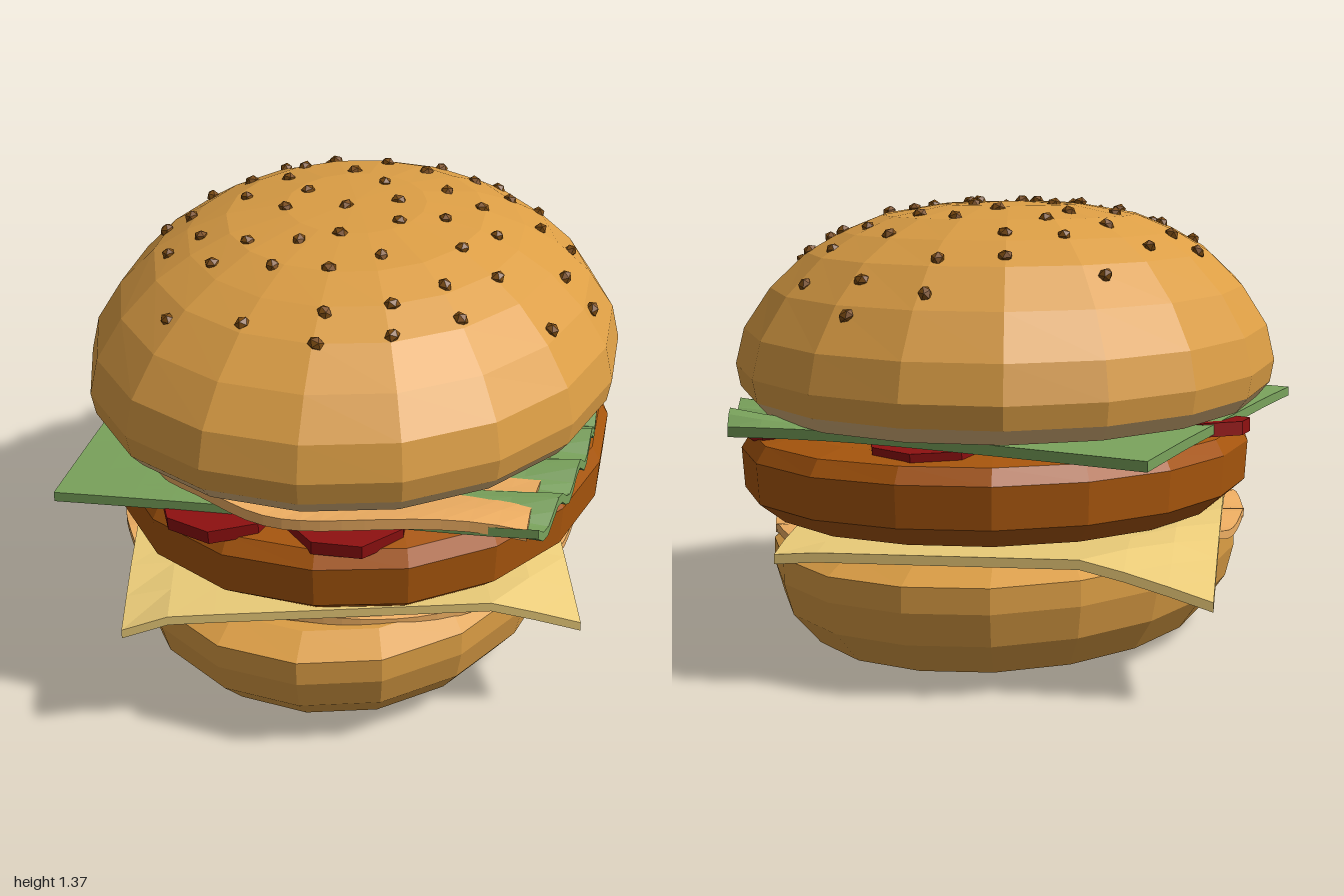
import * as THREE from 'three';

const SIDES = 18;

function material(color) {
  return new THREE.MeshStandardMaterial({ color, flatShading: true });
}

function addMesh(group, name, geometry, mat) {
  const mesh = new THREE.Mesh(geometry, mat);
  mesh.name = name;
  group.add(mesh);
  return mesh;
}

// Moves every vertex of a geometry by a rule
function reshape(geometry, rule) {
  const pos = geometry.attributes.position;
  const v = new THREE.Vector3();
  for (let i = 0; i < pos.count; i++) {
    rule(v.fromBufferAttribute(pos, i));
    pos.setXYZ(i, v.x, v.y, v.z);
  }
  geometry.computeVertexNormals();
  return geometry;
}

// Oval turned body, bulging a little along one diagonal;
// profile is [radius fraction, y] from bottom to top
function oval(profile, rx, rz, cx, cz, bulge) {
  const points = profile.map(([r, y]) => new THREE.Vector2(r, y));
  return reshape(new THREE.LatheGeometry(points, SIDES), (v) => {
    const swell = 1 + 2 * bulge * Math.max(0, -v.x * v.z);
    v.x = v.x * rx * swell + cx;
    v.z = v.z * rz * swell + cz;
  });
}

// Thin slice: outline maps (u, v) in -1..1 to [x, z], height gives its y
function sheet(nx, nz, thickness, outline, height) {
  return reshape(new THREE.BoxGeometry(2, 1, 2, nx, 1, nz), (p) => {
    const { x: u, z: v } = p;
    const [x, z] = outline(u, v);
    p.set(x, height(x, z, u, v) + p.y * thickness, z);
  });
}

// Blend of four corners: back right, back left, front left, front right
function quad([a, b, c, d]) {
  return (u, v) => [0, 1].map((i) =>
    (a[i] * (1 - u) * (1 - v) + b[i] * (1 + u) * (1 - v) +
     c[i] * (1 + u) * (1 + v) + d[i] * (1 - u) * (1 + v)) / 4);
}

// Square rounded towards an oval; k = 1 is a full oval
function rounded(hx, hz, k) {
  return (u, v) => [
    hx * u * Math.sqrt(1 - (k(u, v) * v * v) / 2),
    hz * v * Math.sqrt(1 - (k(u, v) * u * u) / 2),
  ];
}

export function createModel() {
  const burger = new THREE.Group();
  burger.name = 'burger';

  const bun = material(0xdc9e45);
  const crumb = material(0xdcb57c);
  const pattyMat = material(0xa8560d);
  const cheese = material(0xeacb78);
  const lettuceMat = material(0x7aa35c);
  const tomatoMat = material(0x8e1010);
  const ham = material(0xeeae62);
  const seedMat = material(0x7d4c12);

  // Bottom bun
  addMesh(burger, 'bottomBun', oval([
    [0, 0], [0.55, 0.004], [0.86, 0.048], [0.965, 0.15], [1, 0.25],
    [1, 0.325], [0.9, 0.37], [0, 0.38],
  ], 0.7, 0.98, 0, 0, 0.02), bun);

  // Wavy ham under the cheese
  addMesh(burger, 'lowerHam', sheet(20, 26, 0.026, rounded(0.74, 0.84, () => 0.95),
    (x, z, u, v) => 0.375 - 0.02 * u * u + 0.012 * Math.sin(z * 17 + x * 9) * Math.max(Math.abs(u), Math.abs(v))), ham);

  // Cheese slice with drooping sides
  addMesh(burger, 'cheeseSlice', sheet(10, 12, 0.028,
    quad([[-0.83, -0.76], [0.38, -0.99], [0.79, 0.66], [-0.51, 0.99]]),
    (x, z) => 0.4 + 0.014 * z - 0.29 * Math.max(0, Math.hypot(x / 0.69, z / 1.14) - 1)), cheese);

  // Patty
  addMesh(burger, 'patty', oval([
    [0, 0.405], [0.9, 0.412], [0.99, 0.475], [1, 0.6], [0.965, 0.648], [0.85, 0.668], [0, 0.675],
  ], 0.778, 0.92, 0.037, -0.012, 0.035), pattyMat);

  // Tomato slices, tipped outwards
  const slice = new THREE.CylinderGeometry(0.19, 0.19, 0.042, 8);
  const spots = [[-0.27, 0.69], [0.1, 0.71], [0.5, 0.38], [0.52, -0.45], [0.02, -0.68], [-0.6, -0.07]];
  spots.forEach(([x, z], i) => {
    const tomato = addMesh(burger, 'tomatoSlice', slice, tomatoMat);
    tomato.position.set(x, 0.673, z);
    tomato.rotation.set(z * 0.12, i * 0.4, -x * 0.12);
  });

  // Lettuce leaf, flat on one side and ruffled along the other
  const leaf = quad([[-0.67, -0.88], [0.6, -0.83], [0.66, 0.82], [-0.76, 0.77]]);
  addMesh(burger, 'lettuce', sheet(12, 44, 0.03, (u, v) => {
    const [x, z] = leaf(u, v);
    return [x + 0.15 * Math.max(0, u) ** 2 * (1 - v * v), z];
  }, (x, z, u) => 0.707 + 0.03 * x - 0.02 * Math.max(0, Math.hypot(x, z) - 0.85)
    + 0.028 * Math.sin(z * 31) * Math.max(0, u) ** 3), lettuceMat);

  // Wavy ham under the top bun, with one corner sticking out
  addMesh(burger, 'upperHam', sheet(18, 24, 0.034,
    rounded(0.69, 0.89, (u, v) => 1 - 0.65 * Math.max(0, u) * Math.max(0, v)),
    (x, z, u, v) => 0.743 + 0.012 * Math.sin(x * 8 + z * 13)
      - 0.03 * Math.max(0, u * v) * Math.max(0, u)), ham);

  // Top bun, tilted slightly towards the back
  const tilt = (v) => {
    v.y += (0.018 * v.x + 0.036 * v.z) * Math.min(1, (1.36 - v.y) / 0.4);
    return v;
  };
  const crown = [[0.985, 0.8], [1, 0.87], [0.97, 0.98], [0.878, 1.1], [0.75, 1.205],
    [0.625, 1.267], [0.48, 1.317], [0.26, 1.349], [0, 1.357]];
  const rx = 0.83, rz = 0.97, cx = 0.005, cz = -0.012, bulge = 0.018;
  addMesh(burger, 'topBun', reshape(oval(crown, rx, rz, cx, cz, bulge), tilt), bun);
  addMesh(burger, 'topBunUnderside',
    reshape(oval([[0, 0.765], [0.94, 0.753], [0.985, 0.8]], rx, rz, cx, cz, bulge), tilt), crumb);

  // Height of the crown at a radius fraction
  const crownHeight = (r) => {
    const i = crown.findIndex(([pr], n) => n > 1 && pr <= r);
    const [r1, y1] = crown[i], [r0, y0] = crown[i - 1];
    return y0 + (y1 - y0) * (r0 - r) / (r0 - r1);
  };

  // Sesame seeds scattered on a spiral
  const seedGeometry = new THREE.IcosahedronGeometry(0.025, 0);
  const seeds = new THREE.Group();
  seeds.name = 'sesameSeeds';
  burger.add(seeds);
  for (let i = 0; i < 58; i++) {
    const r = 0.84 * Math.sqrt((i + 0.7) / 58) + 0.03 * Math.sin(i * 5.3);
    const a = i * 2.4 + 0.12 * Math.sin(i * 3.1);
    const fx = r * Math.cos(a) + 0.06, fz = r * Math.sin(a) - 0.03;
    const seed = addMesh(seeds, 'seed', seedGeometry, seedMat);
    seed.position.set(fx * rx + cx, crownHeight(Math.min(0.95, Math.hypot(fx, fz))), fz * rz + cz);
    tilt(seed.position);
    seed.scale.set(1, 0.8, 0.85);
    seed.rotation.set(fz, i, -fx);
  }

  return burger;
}
